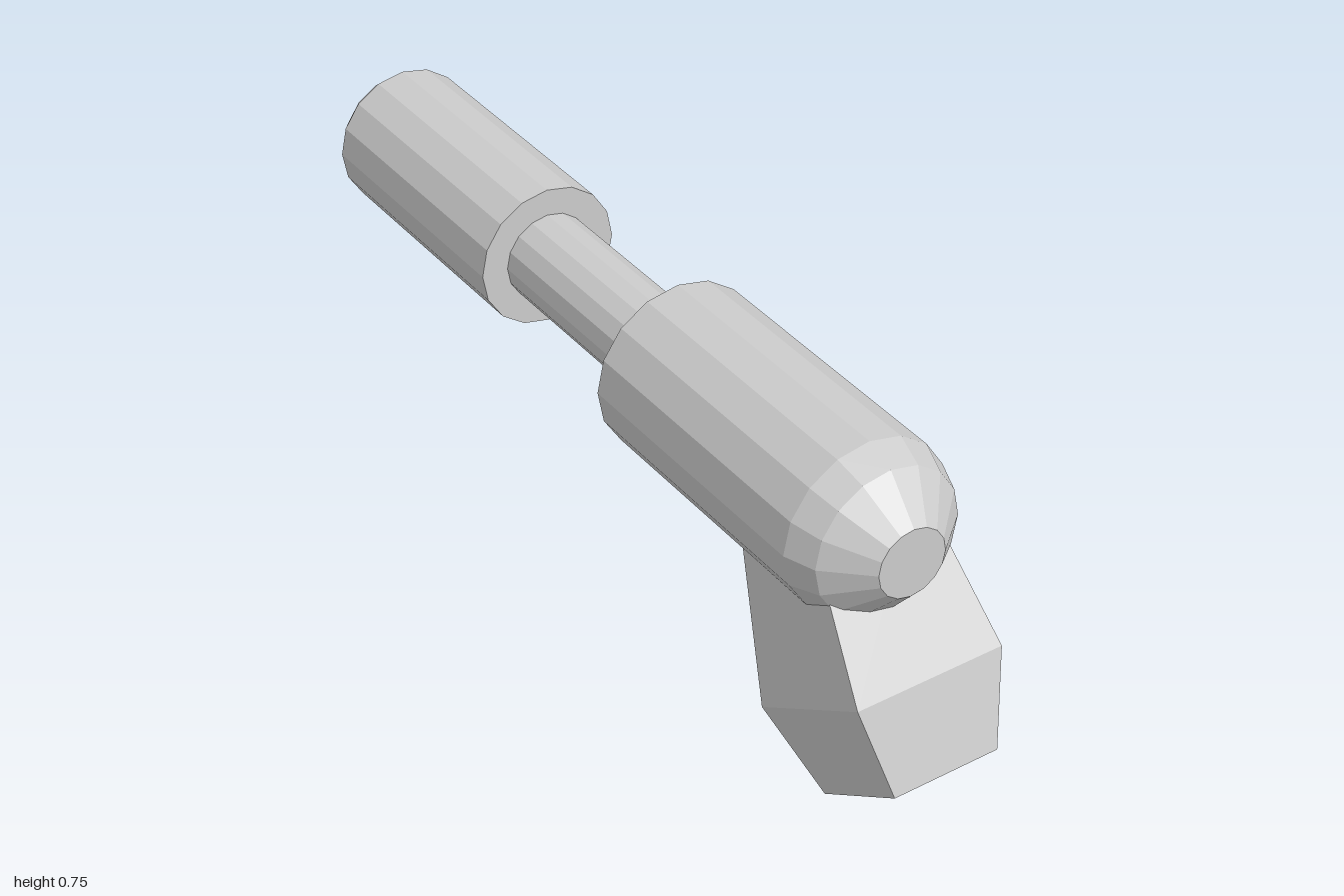
import * as THREE from 'three';

const material = new THREE.MeshStandardMaterial({ color: 0xcccccc, flatShading: true });

// Round part turned about the barrel axis; profile points are [radius, z], back to front
function turned(name, profile) {
  const points = profile.map(([r, z]) => new THREE.Vector2(r, z));
  const geometry = new THREE.LatheGeometry(points, 16).rotateX(Math.PI / 2);
  const mesh = new THREE.Mesh(geometry, material);
  mesh.name = name;
  return mesh;
}

// Four-sided loft through sections running from bottom to top
function createGrip() {
  const sections = [
    { half: [0.123, 0.123], front: [0.13, 1.0], back: [0.0, 0.795] },
    { half: [0.171, 0.171], front: [0.317, 0.94], back: [0.142, 0.655] },
    { half: [0.125, 0.12], front: [0.595, 0.72], back: [0.5, 0.5] },
  ];
  const positions = [];
  for (const { half, front, back } of sections) {
    positions.push(-half[0], ...front, half[0], ...front, half[1], ...back, -half[1], ...back);
  }
  const index = [0, 3, 2, 0, 2, 1];
  for (let s = 0; s < sections.length - 1; s++) {
    for (let i = 0; i < 4; i++) {
      const a = s * 4 + i, b = s * 4 + (i + 1) % 4;
      index.push(a, b, b + 4, a, b + 4, a + 4);
    }
  }
  const top = (sections.length - 1) * 4;
  index.push(top, top + 1, top + 2, top, top + 2, top + 3);

  const geometry = new THREE.BufferGeometry();
  geometry.setAttribute('position', new THREE.Float32BufferAttribute(positions, 3));
  geometry.setIndex(index);
  geometry.computeVertexNormals();
  const mesh = new THREE.Mesh(geometry, material);
  mesh.name = 'grip';
  mesh.position.x = -0.012;
  return mesh;
}

export function createModel() {
  const model = new THREE.Group();
  model.name = 'model';

  // Barrel assembly, turned slightly off the grip's centre line
  const barrel = new THREE.Group();
  barrel.name = 'barrel';
  barrel.position.set(0.006, 0.564, 0);
  barrel.rotation.y = -0.044;
  barrel.add(
    // Main body with a rounded nose
    turned('body', [[0, 0.12], [0.185, 0.12], [0.185, 0.753], [0.161, 0.82], [0.075, 0.897], [0, 0.897]]),
    turned('rod', [[0.097, -0.4], [0.097, 0.15]]),
    // Muzzle sleeve with a chamfered rim and an open bore
    turned('muzzle', [[0, -0.42], [0.095, -0.42], [0.095, -0.994], [0.13, -0.994],
      [0.156, -0.96], [0.156, -0.366], [0, -0.366]]),
  );

  model.add(barrel, createGrip());
  return model;
}
